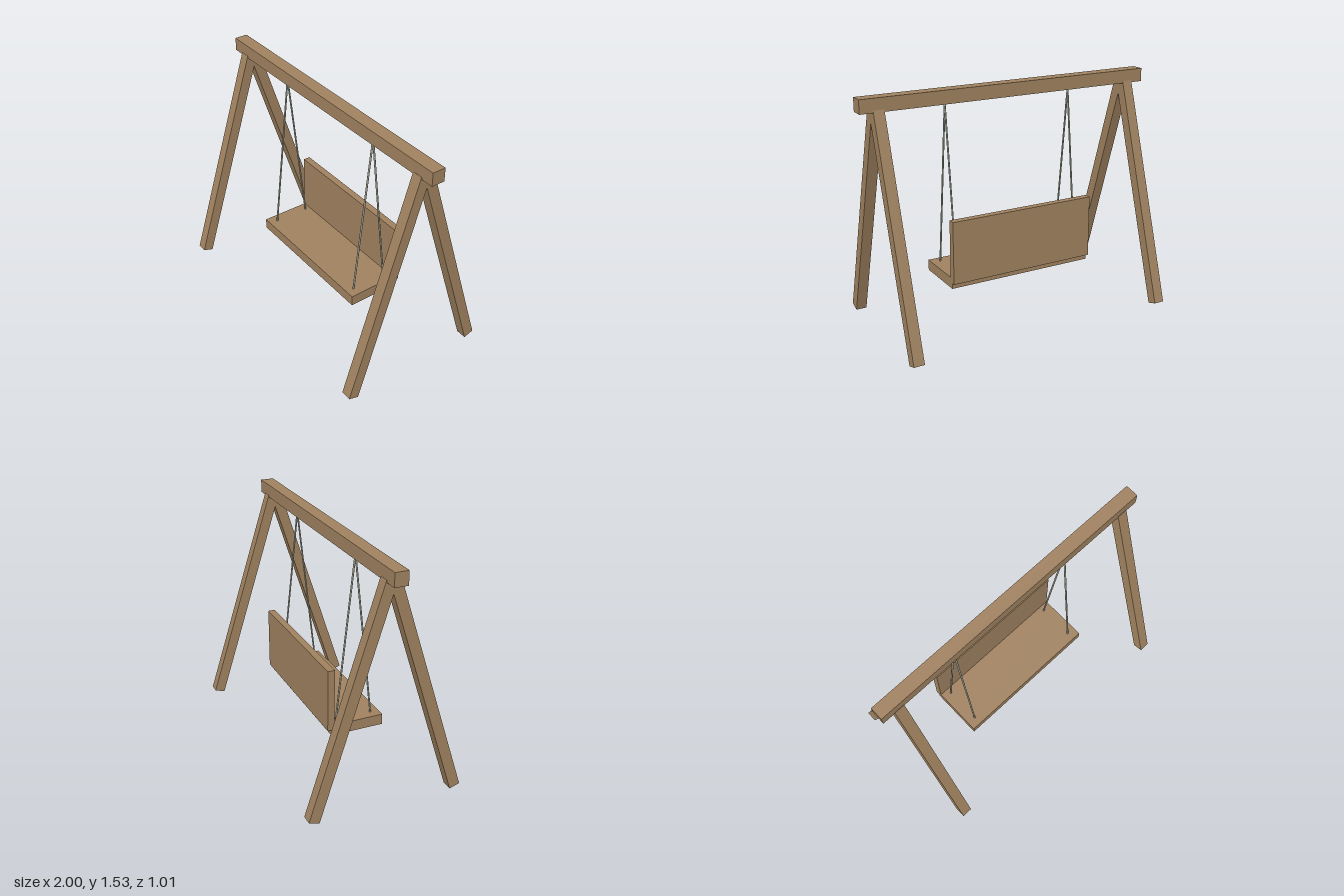
import * as THREE from 'three';

export function createModel() {
  const group = new THREE.Group();
  const wood = new THREE.MeshStandardMaterial({ color: 0xa08260 });
  wood.name = 'wood';
  const rope = new THREE.MeshStandardMaterial({ color: 0xb0b0a0 });
  rope.name = 'rope';

  function add(name, geometry, material, x, y, z) {
    const mesh = new THREE.Mesh(geometry, material);
    mesh.name = name;
    mesh.position.set(x, y, z);
    group.add(mesh);
    return mesh;
  }

  // Top beam
  add('beam', new THREE.BoxGeometry(2, 0.087, 0.087), wood, 0, 1.485, 0);

  // Bench: seat and upright back board
  add('seat', new THREE.BoxGeometry(1, 0.07, 0.35), wood, 0, 0.336, 0);
  add('backrest', new THREE.BoxGeometry(1, 0.41, 0.046), wood, 0, 0.543, -0.177);

  // A-frame legs and hanging ropes, mirrored left/right and front/back
  const legGeometry = new THREE.BoxGeometry(0.07, 1.505, 0.07);
  const ropeBottom = 0.365, ropeTop = 1.445, ropeSpread = 0.12;
  const ropeGeometry = new THREE.CylinderGeometry(
    0.006, 0.006, Math.hypot(ropeTop - ropeBottom, ropeSpread), 8);

  for (const [side, sx] of [['left', 1], ['right', -1]]) {
    for (const [end, sz] of [['Front', 1], ['Back', -1]]) {
      const leg = add(`${side}${end}Leg`, legGeometry, wood, sx * 0.882, 0.729, sz * 0.242);
      leg.rotation.x = -sz * 0.31;

      const line = add(`${side}${end}Rope`, ropeGeometry, rope,
        sx * 0.441, (ropeBottom + ropeTop) / 2, sz * ropeSpread / 2);
      line.rotation.x = -sz * Math.atan2(ropeSpread, ropeTop - ropeBottom);
    }
  }
  return group;
}
